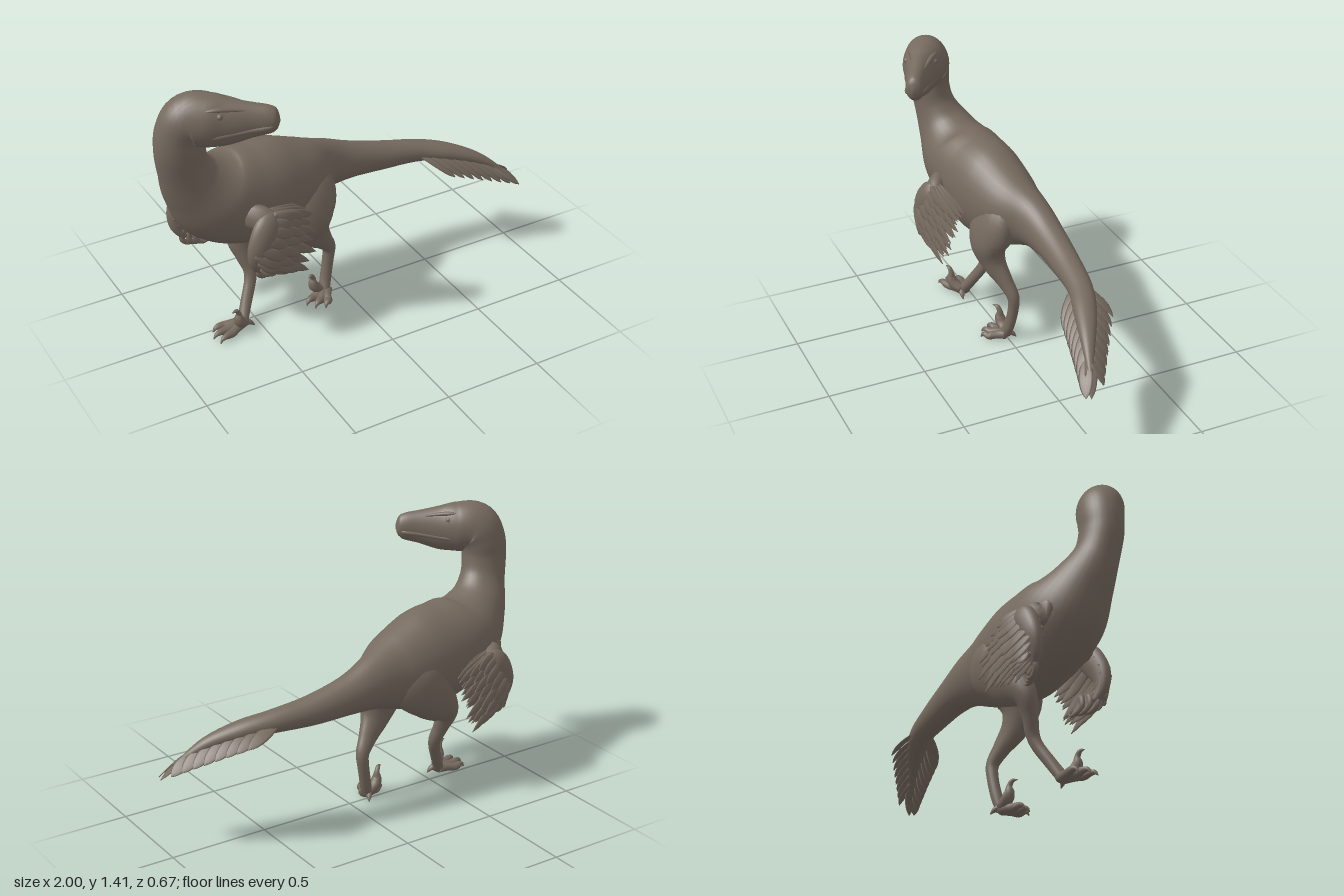
import * as THREE from 'three';

const V = (x, y, z) => new THREE.Vector3(x, y, z);
const hide = new THREE.MeshStandardMaterial({ color: 0x766a5f });
hide.name = 'brown hide';

// Smooth closed loft through stations [x, y, z, sideRadius, upRadius]
function loft(name, stations, side = V(0, 0, 1), steps = 6, n = 16) {
  const path = new THREE.CatmullRomCurve3(stations.map(s => V(s[0], s[1], s[2])), false, 'catmullrom');
  const radii = new THREE.CatmullRomCurve3(stations.map(s => V(s[3], s[4], 0)), false, 'catmullrom');
  const rings = (stations.length - 1) * steps;
  const pos = [], index = [];
  for (let i = 0; i <= rings; i++) {
    const t = i / rings;
    const c = path.getPoint(t), T = path.getTangent(t), r = radii.getPoint(t);
    const s = side.clone().addScaledVector(T, -side.dot(T)).normalize();
    const up = T.clone().cross(s);
    for (let j = 0; j < n; j++) {
      const a = (j / n) * Math.PI * 2;
      const p = c.clone().addScaledVector(s, Math.max(r.x, 0.001) * Math.cos(a))
        .addScaledVector(up, Math.max(r.y, 0.001) * Math.sin(a));
      pos.push(p.x, p.y, p.z);
      if (i < rings) {
        const k = i * n + j, l = i * n + (j + 1) % n;
        index.push(k, l, k + n, l, l + n, k + n);
      }
    }
  }
  // end caps
  const first = path.getPoint(0), last = path.getPoint(1), c0 = pos.length / 3;
  pos.push(first.x, first.y, first.z, last.x, last.y, last.z);
  for (let j = 0; j < n; j++) {
    const m = (j + 1) % n;
    index.push(c0, m, j, c0 + 1, rings * n + j, rings * n + m);
  }
  const g = new THREE.BufferGeometry();
  g.setAttribute('position', new THREE.Float32BufferAttribute(pos, 3));
  g.setIndex(index);
  g.computeVertexNormals();
  const mesh = new THREE.Mesh(g, hide);
  mesh.name = name;
  return mesh;
}

// Flat pointed blade from root to tip, bowed along its normal
function feather(name, root, tip, width, normal, thick = 0.008) {
  const dir = tip.clone().sub(root).normalize();
  const side = dir.clone().cross(normal).normalize();
  const up = side.clone().cross(dir);
  const st = [[0, 0.4], [0.3, 0.85], [0.6, 1], [0.85, 0.65], [1, 0.04]].map(([t, w]) => {
    const p = root.clone().lerp(tip, t).addScaledVector(up, 0.06 * Math.sin(t * Math.PI) * root.distanceTo(tip));
    return [p.x, p.y, p.z, width * w, thick * (1 - 0.7 * t)];
  });
  return loft(name, st, side, 3, 8);
}

// Head frame, turned back over the shoulder: u runs to the snout, w sideways
const H = (u, y, w) => [-0.88 + 0.87 * u - 0.5 * w, y, 0.1 + 0.5 * u + 0.87 * w];

const TAIL = [
  [0.94, 0.44, 0.065, 0.008, 0.008], [0.8, 0.535, 0.01, 0.035, 0.03], [0.65, 0.59, -0.05, 0.055, 0.045],
  [0.5, 0.617, -0.1, 0.06, 0.056], [0.3, 0.635, -0.125, 0.07, 0.075], [0.1, 0.665, -0.13, 0.083, 0.1],
];
const TRUNK = [
  [-0.05, 0.69, -0.115, 0.105, 0.14], [-0.2, 0.7, -0.07, 0.16, 0.2], [-0.38, 0.712, -0.04, 0.192, 0.257],
  [-0.55, 0.737, -0.02, 0.2, 0.253], [-0.7, 0.797, 0.005, 0.19, 0.222], [-0.805, 0.905, 0.035, 0.14, 0.158],
  [-0.86, 1.02, 0.068, 0.103, 0.124], [-0.88, 1.13, 0.086, 0.098, 0.121], [-0.872, 1.22, 0.092, 0.103, 0.122],
];
const HEAD = [
  [-0.835, 1.283, 0.115, 0.111, 0.128], [-0.765, 1.284, 0.162, 0.106, 0.127],
  [...H(0.21, 1.28, 0), 0.08, 0.115], [...H(0.32, 1.287, 0), 0.056, 0.086], [...H(0.4, 1.29, 0), 0.046, 0.068],
  [...H(0.43, 1.29, 0), 0.034, 0.047], [...H(0.443, 1.29, 0), 0.006, 0.012],
];

// Eyes, brows and lips on both sides of the face
function makeFace() {
  const face = new THREE.Group();
  face.name = 'face';
  for (const s of [-1, 1]) {
    const eye = new THREE.Mesh(new THREE.SphereGeometry(0.015, 16, 12), hide);
    eye.name = 'eye';
    eye.position.set(...H(0.185, 1.338, s * 0.07));
    face.add(eye);
    const ridge = (name, pts, wide, r) => face.add(loft(name,
      pts.map(([u, y, w, k]) => [...H(u, y, s * w), wide * k, r * k]), V(-0.5, 0, 0.87), 5, 10));
    ridge('brow', [[0.1, 1.36, 0.072, 0.3], [0.16, 1.368, 0.066, 1], [0.22, 1.364, 0.052, 1], [0.3, 1.352, 0.036, 0.3]], 0.012, 0.01);
    ridge('upperLip', [[0.08, 1.222, 0.084, 0.3], [0.16, 1.238, 0.082, 1], [0.24, 1.247, 0.065, 1],
      [0.32, 1.258, 0.051, 1], [0.4, 1.268, 0.042, 1], [0.437, 1.274, 0.013, 0.8]], 0.007, 0.01);
  }
  return face;
}

// Foot with three front toes, a rear toe and a raised sickle claw
function makeFoot(base, yaw, length, inner) {
  const foot = new THREE.Group();
  foot.name = 'foot';
  const f = V(-Math.cos(yaw), 0, Math.sin(yaw));
  const lat = V(Math.sin(yaw), 0, Math.cos(yaw)).multiplyScalar(inner);
  const toe = (name, pts) => foot.add(loft(name, pts.map(([d, y, w, r]) => {
    const p = base.clone().addScaledVector(f, d).addScaledVector(lat, w);
    return [p.x, y, p.z, r, r * 0.9];
  }), V(0.1, 0.15, 1), 5, 10));
  const L = length;
  for (const w of [0.02, -0.02, -0.055]) {
    const k = w < -0.05 ? 0.8 : 1;
    toe('toe', [[-0.01, 0.032, w * 0.2, 0.027], [L * 0.3 * k, 0.028, w * 0.6, 0.024], [L * 0.55 * k, 0.023, w, 0.023],
      [L * 0.75 * k, 0.028, w * 1.15, 0.018], [L * 0.9 * k, 0.024, w * 1.2, 0.011], [L * k, 0.006, w * 1.25, 0.002]]);
  }
  toe('rearToe', [[0, 0.04, 0.01, 0.018], [-0.025, 0.027, 0.025, 0.014], [-0.045, 0.005, 0.035, 0.002]]);
  toe('sickleClaw', [[0, 0.04, 0.01, 0.026], [0.04, 0.065, 0.027, 0.03], [0.055, 0.095, 0.032, 0.026],
    [0.055, 0.125, 0.032, 0.015], [0.07, 0.15, 0.032, 0.011], [0.098, 0.152, 0.032, 0.002]]);
  return foot;
}

// Folded arm with layered feathers and clawed fingers; flare turns the tips outward
function makeWing(name, s, dx, flare, shoulder) {
  const wing = new THREE.Group();
  wing.name = name;
  const M = p => V(p[0] + dx, p[1], s * (p[2] + flare * (p[0] + 0.5)));
  const R = (p, a, b) => [...M(p).toArray(), a, b];
  wing.add(loft('upperArm', [[...shoulder, 0.03, 0.04], R([-0.57, 0.72, 0.17], 0.045, 0.065),
    R([-0.51, 0.7, 0.22], 0.045, 0.055), R([-0.45, 0.68, 0.235], 0.015, 0.02)], V(0, 0, 1), 6, 14));
  wing.add(loft('forearm', [R([-0.46, 0.72, 0.215], 0.015, 0.02), R([-0.52, 0.69, 0.235], 0.045, 0.07),
    R([-0.58, 0.6, 0.25], 0.042, 0.065), R([-0.6, 0.52, 0.245], 0.03, 0.04), R([-0.57, 0.45, 0.225], 0.018, 0.02)], V(0, 0, 1), 6, 14));
  for (let i = 0; i < 3; i++) {
    const x = -0.575 + i * 0.03, z = 0.235 - i * 0.02;
    wing.add(loft('finger', [R([x, 0.49, z], 0.015, 0.015), R([x - 0.01, 0.44, z - 0.005], 0.014, 0.014),
      R([x + 0.015, 0.41, z - 0.015], 0.012, 0.012), R([x + 0.05, 0.405, z - 0.02], 0.008, 0.008),
      R([x + 0.065, 0.42, z - 0.025], 0.002, 0.002)], V(0, 0, 1), 4, 8));
  }
  const roots = new THREE.CatmullRomCurve3([[-0.5, 0.74, 0.225], [-0.58, 0.69, 0.24], [-0.625, 0.59, 0.255], [-0.59, 0.49, 0.25]].map(M));
  const tips = new THREE.CatmullRomCurve3([[-0.27, 0.65, 0.225], [-0.27, 0.52, 0.265], [-0.33, 0.385, 0.28], [-0.47, 0.42, 0.26]].map(M));
  // layers: [length share, depth offset, count, half width]
  const layers = [[0.85, -0.06, 8, 0.03], [0.93, -0.035, 8, 0.03], [1, -0.005, 10, 0.027], [0.74, 0.018, 9, 0.027], [0.5, 0.032, 8, 0.028]];
  for (const [len, off, count, w] of layers) {
    for (let i = 0; i < count; i++) {
      const t = i / (count - 1);
      const a = roots.getPoint(t), b = a.clone().lerp(tips.getPoint(t), len * (i % 2 ? 0.93 : 1));
      a.z += s * off * 0.5;
      b.z += s * off;
      wing.add(feather('wingFeather', a, b, w, V(0.1 - flare, 0.15, s), 0.01));
    }
  }
  return wing;
}

// Drooping rows of feathers on both sides of the tail end
function makeTailFan() {
  const fan = new THREE.Group();
  fan.name = 'tailFan';
  const spine = new THREE.CatmullRomCurve3(TAIL.slice(0, 4).map(p => V(p[0], p[1], p[2])).reverse());
  const rows = [
    [-1, V(0.68, 0.545, -0.18), V(0.98, 0.41, 0.02)],
    [1, V(0.64, 0.49, 0.045), V(0.995, 0.375, 0.115)],
  ];
  for (const [s, from, to] of rows) {
    for (let i = 0; i < 8; i++) {
      const t = i / 7, root = spine.getPoint(t * 0.8);
      root.add(V(-0.02, 0, s * 0.025 * (1 - t)));
      fan.add(feather('tailFeather', root, from.clone().lerp(to, t), 0.034, V(0.3, 0.8, s * 0.5)));
    }
  }
  fan.add(feather('tipFeather', V(0.8, 0.53, 0.01), V(1, 0.37, 0.09), 0.03, V(0.5, 0.8, 0)));
  return fan;
}

export function createModel() {
  const model = new THREE.Group();
  model.name = 'feathered raptor';
  model.add(loft('bodyWithHeadAndTail', [...TAIL, ...TRUNK, ...HEAD], V(0, 0, 1), 7, 32));
  model.add(makeFace(), makeTailFan());

  // Legs in mid-stride
  model.add(loft('leftLeg', [
    [-0.22, 0.8, -0.05, 0.07, 0.1], [-0.21, 0.66, 0.015, 0.095, 0.155], [-0.215, 0.53, 0.052, 0.088, 0.135],
    [-0.183, 0.43, 0.042, 0.06, 0.09], [-0.115, 0.34, 0.008, 0.039, 0.053], [-0.068, 0.27, -0.015, 0.031, 0.036],
    [-0.07, 0.2, -0.018, 0.027, 0.031], [-0.09, 0.1, -0.008, 0.027, 0.03], [-0.11, 0.03, 0.01, 0.032, 0.028],
  ], V(0, 0, 1), 6, 20));
  model.add(loft('rightLeg', [
    [-0.28, 0.8, -0.08, 0.07, 0.1], [-0.3, 0.68, -0.14, 0.1, 0.17], [-0.41, 0.54, -0.135, 0.088, 0.13],
    [-0.513, 0.43, -0.11, 0.053, 0.07], [-0.51, 0.34, -0.08, 0.037, 0.045], [-0.49, 0.26, -0.055, 0.031, 0.036],
    [-0.5, 0.2, -0.035, 0.027, 0.031], [-0.54, 0.12, 0.0, 0.027, 0.029], [-0.585, 0.035, 0.04, 0.032, 0.026],
  ], V(0, 0, 1), 6, 20));
  model.add(makeFoot(V(-0.11, 0, 0.01), 0.55, 0.13, -1));
  model.add(makeFoot(V(-0.585, 0, 0.045), 0.3, 0.175, 1));

  model.add(makeWing('leftWing', 1, 0, -0.1, [-0.64, 0.74, 0.09]));
  model.add(makeWing('rightWing', -1, -0.19, 0.25, [-0.68, 0.75, -0.1]));
  return model;
}
